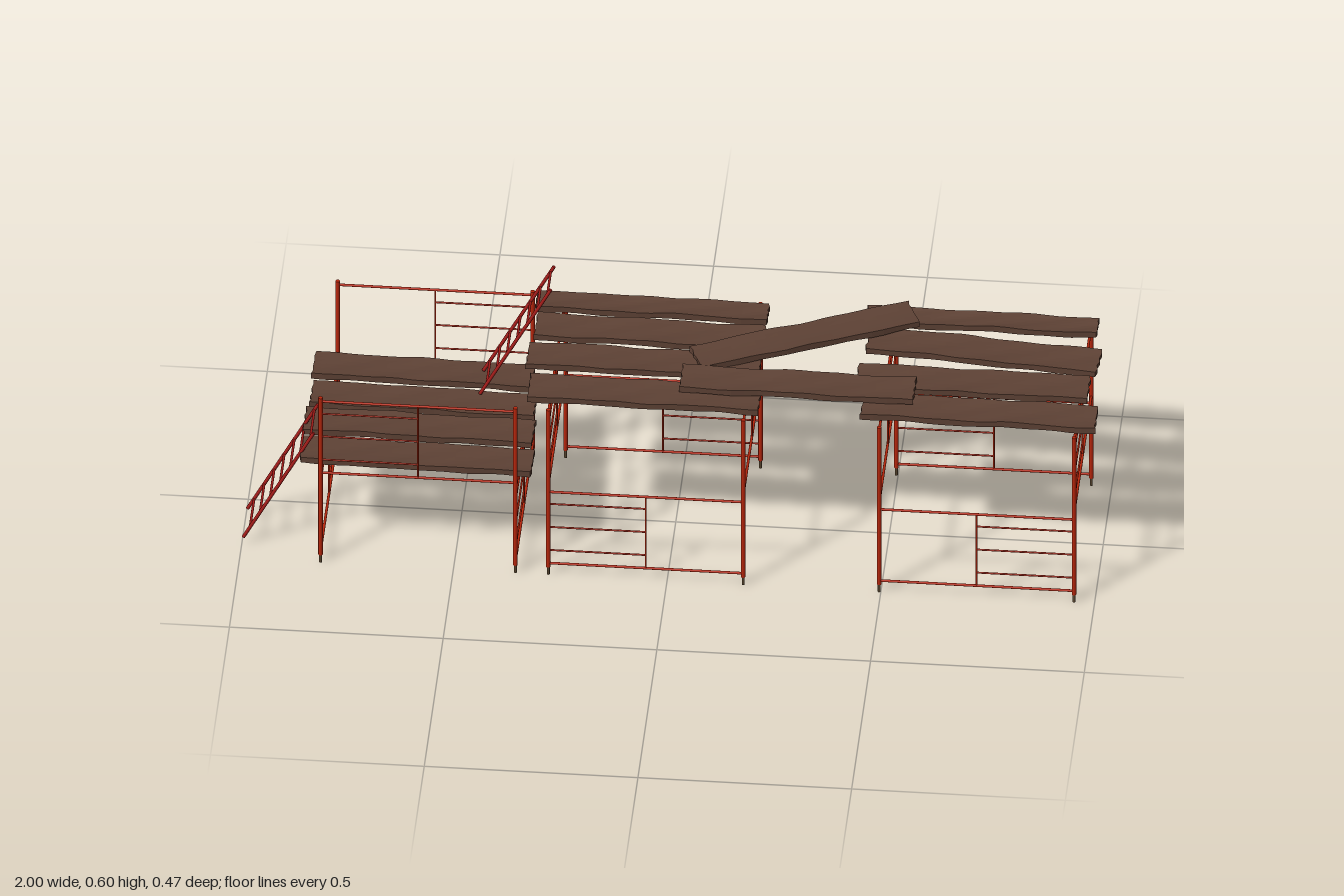
import * as THREE from 'three';

const mat = (name, color) => {
  const m = new THREE.MeshStandardMaterial({ color });
  m.name = name;
  return m;
};

export function createModel() {
  const root = new THREE.Group();
  root.name = 'scaffoldWalkway';
  const red = mat('frame red', 0xb8260c);
  const ladderRed = mat('ladder red', 0xa31b18);
  const footBrown = mat('foot brown', 0x57452f);
  const wood = mat('plank brown', 0x5e4235);

  // Round bar between two points
  function bar(parent, name, a, b, r, material, sides = 10) {
    const p = new THREE.Vector3(...a), q = new THREE.Vector3(...b);
    const d = q.clone().sub(p);
    const m = new THREE.Mesh(new THREE.CylinderGeometry(r, r, d.length(), sides), material);
    m.position.copy(p).add(q).multiplyScalar(0.5);
    m.quaternion.setFromUnitVectors(new THREE.Vector3(0, 1, 0), d.normalize());
    m.name = name;
    parent.add(m);
  }

  // Guard panel: top and bottom rail, centre post, rungs filling one half
  const H = 0.228;
  function panel(parent, axis, side, half, ys) {
    const g = new THREE.Group();
    g.name = 'guardPanel';
    const at = (t, y) => (axis === 'x' ? [t, y, side * H] : [side * H, y, t]);
    const last = ys.length - 1;
    ys.forEach((y, i) => {
      if (i === 0 || i === last) bar(g, 'rail', at(-H, y), at(H, y), 0.0032, red);
      else bar(g, 'rung', at(0, y), at(half * H, y), 0.0023, red);
    });
    bar(g, 'centrePost', at(0, ys[0]), at(0, ys[last]), 0.0023, red);
    parent.add(g);
  }

  const low = [0.032, 0.07, 0.137, 0.204, 0.239];
  const high = [0.26, 0.298, 0.365, 0.431, 0.467];

  // One tower; halves give the rung side for front, back, +x and -x panels
  function tower(cx, frontLow, halves) {
    const g = new THREE.Group();
    g.name = 'scaffoldTower';
    g.position.x = cx;
    for (const x of [-H, H]) for (const z of [-H, H]) {
      bar(g, 'leg', [x, 0.022, z], [x, 0.478, z], 0.0053, red, 12);
      bar(g, 'foot', [x, 0, z], [x, 0.03, z], 0.0034, footBrown);
    }
    const [fb, ends] = frontLow ? [low, high] : [high, low];
    panel(g, 'x', 1, halves[0], fb);
    panel(g, 'x', -1, halves[1], fb);
    panel(g, 'z', 1, halves[2], ends);
    panel(g, 'z', -1, halves[3], ends);
    root.add(g);
  }
  tower(-0.583, false, [-1, 1, 1, -1]);
  tower(-0.05, true, [-1, 1, -1, 1]);
  tower(0.724, true, [1, -1, 1, -1]);

  // Leaning ladders
  function ladder(x0, y0, x1, y1, zA, zB, rungY) {
    const g = new THREE.Group();
    g.name = 'ladder';
    for (const z of [zA, zB]) bar(g, 'ladderRail', [x0, y0, z], [x1, y1, z], 0.0042, ladderRed);
    for (let i = 0; i < 7; i++) {
      const y = rungY + i * 0.0447, x = x0 + (x1 - x0) * (y - y0) / (y1 - y0);
      bar(g, 'ladderRung', [x, y, zA], [x, y, zB], 0.003, ladderRed);
    }
    root.add(g);
  }
  ladder(-0.996, 0.021, -0.832, 0.333, 0.063, 0.174, 0.05);
  ladder(-0.465, 0.282, -0.3, 0.594, -0.173, -0.082, 0.311);

  // Rough plank from (x0, z0) to (x1, z1): thin middle, flared and worn edges
  function plank(x0, z0, x1, z1, width, y, seed) {
    const len = Math.hypot(x1 - x0, z1 - z0);
    const geo = new THREE.BoxGeometry(1, 1, 1, 18, 1, 6).toNonIndexed();
    const p = geo.attributes.position;
    for (let i = 0; i < p.count; i++) {
      const u = p.getX(i), v = p.getY(i), w = p.getZ(i);
      const s = Math.sign(w), rim = Math.abs(w) * 2;
      const edge = Math.sin(u * 13 + seed * 2.1 + s) * 0.0018 + Math.sin(u * 29 + seed + s * 2) * 0.001;
      const ragged = Math.abs(u) > 0.49 ? Math.sin(w * 17 + seed * 3) * 0.002 * Math.sign(u) : 0;
      const thick = 0.0095 + 0.006 * rim * rim + 0.0015 * Math.sin(u * 21 + w * 9 + seed);
      p.setXYZ(i, u * len + ragged,
        v * thick + Math.sin(u * 11 + seed) * 0.001,
        w * width + edge * rim);
    }
    geo.computeVertexNormals();
    const m = new THREE.Mesh(geo, wood);
    m.name = 'plank';
    m.position.set((x0 + x1) / 2, y, (z0 + z1) / 2);
    m.rotation.y = -Math.atan2(z1 - z0, x1 - x0);
    root.add(m);
  }

  const lowY = 0.273, deckY = 0.481, topY = 0.497;
  [
    // low deck
    [-0.862, -0.171, -0.348, -0.163, 0.085, lowY],
    [-0.857, -0.058, -0.333, -0.05, 0.087, lowY],
    [-0.864, 0.045, -0.328, 0.053, 0.088, lowY],
    [-0.861, 0.158, -0.32, 0.166, 0.088, lowY],
    // middle deck
    [-0.342, -0.188, 0.2, -0.184, 0.064, deckY],
    [-0.335, -0.09, 0.2, -0.084, 0.088, deckY],
    [-0.344, 0.025, 0.2, 0.028, 0.088, deckY],
    [-0.33, 0.15, 0.21, 0.154, 0.092, deckY],
    // far deck
    [0.43, -0.2, 0.97, -0.197, 0.06, deckY],
    [0.442, -0.107, 0.985, -0.06, 0.088, deckY],
    [0.428, 0.042, 0.97, 0.044, 0.09, deckY],
    [0.45, 0.152, 0.998, 0.158, 0.088, deckY],
    // bridging planks
    [0.022, 0.104, 0.568, 0.107, 0.088, topY],
    [0.05, 0.026, 0.54, -0.193, 0.087, topY],
  ].forEach((a, i) => plank(...a, i * 1.7));

  return root;
}
